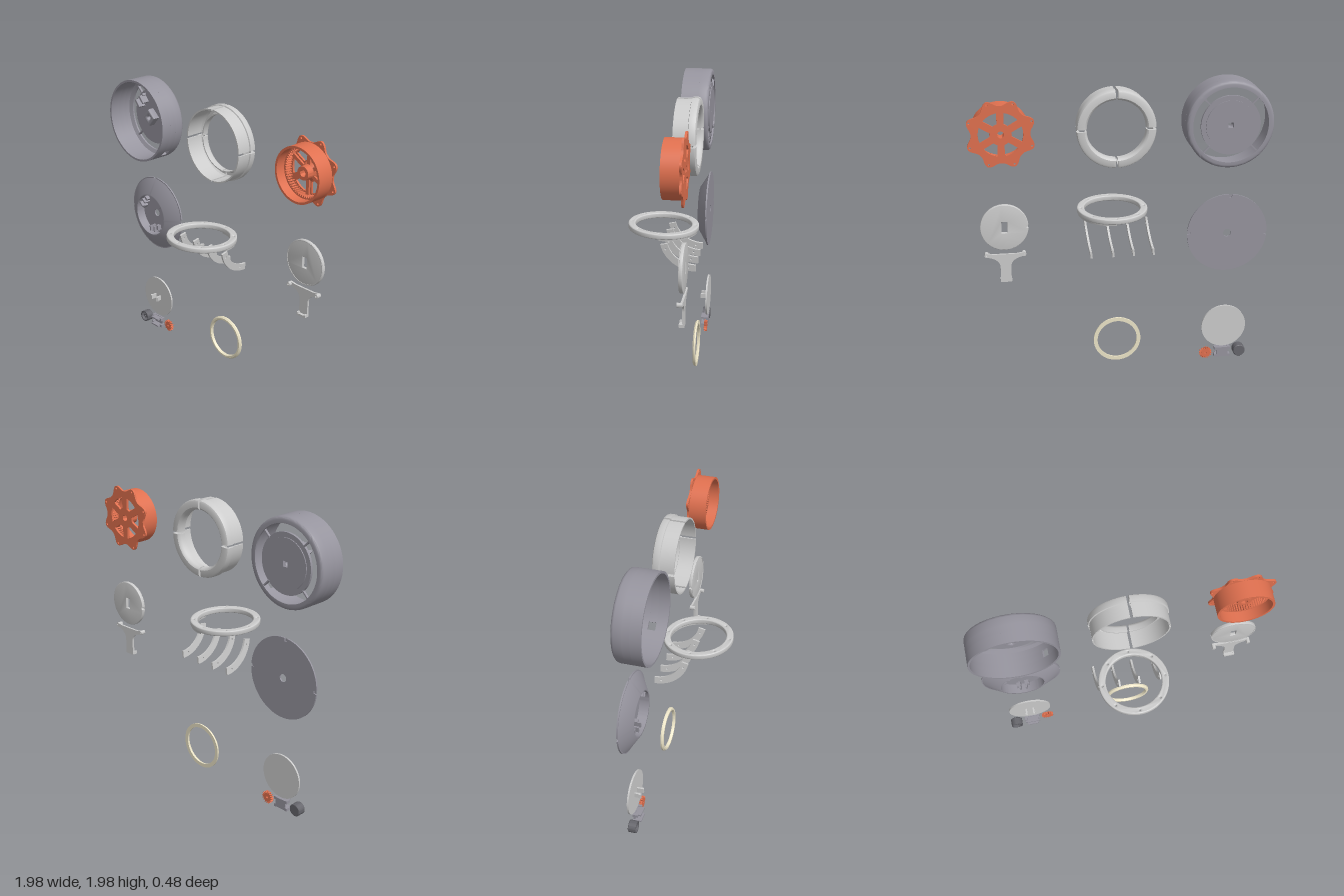
import * as THREE from 'three';
import { mergeGeometries, toCreasedNormals } from 'three/addons/utils/BufferGeometryUtils.js';

const PI = Math.PI, TAU = PI * 2;
const mat = (color) => new THREE.MeshStandardMaterial({ color, side: THREE.DoubleSide });
const grey = mat(0xcccccc), dark = mat(0x96949e), orange = mat(0xe0704f), cream = mat(0xede5c8), black = mat(0x66666c);

// every part stands on a common back plane, z = -0.24
function part(root, name, x, y, z = -0.24) {
  const g = new THREE.Group();
  g.name = name;
  g.position.set(x, y, z);
  root.add(g);
  return g;
}
function add(g, name, geo, m, x = 0, y = 0, z = 0, rz = 0) {
  const mesh = new THREE.Mesh(geo, m);
  mesh.name = name;
  mesh.position.set(x, y, z);
  mesh.rotation.z = rz;
  g.add(mesh);
  return mesh;
}
const box = (w, h, d) => new THREE.BoxGeometry(w, h, d).translate(0, 0, d / 2);

// profile [r, z] turned around z; part turns get end caps
function turn(pts, start = 0, length = TAU) {
  const v = pts.map(([r, z]) => new THREE.Vector2(r, z));
  const list = [new THREE.LatheGeometry([...v, v[0].clone()], Math.ceil(96 * length / TAU), start, length)];
  if (length < TAU) for (const phi of [start, start + length])
    list.push(new THREE.ShapeGeometry(new THREE.Shape(v)).rotateY(phi - PI / 2));
  return toCreasedNormals(mergeGeometries(list).rotateX(PI / 2), 0.6);
}
const tube = (r0, r1, z0, z1) => turn([[r0, z0], [r1, z0], [r1, z1], [r0, z1]]);

// outline given as radius by angle
function polar(n, f, T = THREE.Shape) {
  const pts = [];
  for (let i = 0; i < n; i++) {
    const a = i / n * TAU, r = f(a, i);
    pts.push(new THREE.Vector2(r * Math.cos(a), r * Math.sin(a)));
  }
  return new T(pts);
}
const circle = (r, x = 0, y = 0) => new THREE.Path().absarc(x, y, r, 0, TAU, true);
const rect = (w, h, T = THREE.Path) => new T([[-1, -1], [1, -1], [1, 1], [-1, 1]].map(([a, b]) => new THREE.Vector2(a * w / 2, b * h / 2)));
function plate(shape, holes, depth, bevel = 0) {
  shape.holes.push(...holes);
  const geo = new THREE.ExtrudeGeometry(shape, {
    depth: depth - 2 * bevel, curveSegments: 48, bevelEnabled: bevel > 0,
    bevelSize: bevel, bevelOffset: -bevel, bevelThickness: bevel, bevelSegments: 3,
  }).translate(0, 0, bevel);
  return toCreasedNormals(geo, 0.6);
}

function housing(root) {
  const g = part(root, 'housing', -0.71, 1.69);
  add(g, 'rearRim', turn([[0.25, 0], [0.27, 0], [0.281, 0.003], [0.287, 0.009], [0.29, 0.02], [0.29, 0.07], [0.276, 0.07], [0.276, 0.025], [0.25, 0.012]]), dark);
  // band of the wall with a small window
  add(g, 'windowBand', turn([[0.276, 0.07], [0.29, 0.07], [0.29, 0.12], [0.276, 0.12]], PI / 4 + 0.09, TAU - 0.18), dark);
  add(g, 'frontWall', tube(0.276, 0.29, 0.12, 0.19), dark);
  add(g, 'baseDisc', plate(polar(96, () => 0.197), [rect(0.036, 0.036)], 0.016), dark, 0, 0, 0.006);
  add(g, 'baseStep', plate(polar(96, () => 0.165), [rect(0.036, 0.036)], 0.006), dark);
  for (let i = 0; i < 4; i++) {
    const a = PI / 4 + i * PI / 2;
    add(g, 'spoke', box(0.07, 0.009, 0.016), dark, 0.225 * Math.cos(a), 0.225 * Math.sin(a), 0.003, a);
  }
  // centre socket and the clip beside it
  add(g, 'socket', plate(rect(0.085, 0.085, THREE.Shape), [circle(0.016)], 0.055, 0.01), dark, 0, 0, 0.02, 0.87);
  const clip = part(g, 'clip', -0.1, 0.095, 0.022);
  clip.rotation.z = 0.75;
  for (const s of [-1, 1]) {
    add(clip, 'clipPost', box(0.014, 0.06, 0.055), dark, s * 0.028, 0, 0);
    add(clip, 'clipFoot', box(0.022, 0.016, 0.03), dark, s * 0.032, 0.03, 0);
  }
  add(clip, 'clipBar', box(0.056, 0.01, 0.02), dark, 0, 0, 0);
}

function quarterRing(root) {
  const g = part(root, 'quarterRing', 0.033, 1.69);
  const profile = [[0.192, 0.02], [0.197, 0.007], [0.207, 0], [0.242, 0], [0.253, 0.006], [0.258, 0.018], [0.258, 0.05],
    [0.25, 0.053], [0.25, 0.15], [0.24, 0.15], [0.24, 0.03], [0.23, 0.018], [0.212, 0.018], [0.2, 0.03], [0.2, 0.055], [0.192, 0.055]];
  for (let i = 0; i < 4; i++) add(g, 'quarterTrough', turn(profile, i * PI / 2 + 0.035, PI / 2 - 0.07), grey);
}

function wheel(root) {
  const g = part(root, 'toothedWheel', 0.77, 1.69);
  const holes = [circle(0.022)];
  for (let i = 0; i < 8; i++) {
    const a = (i + 0.5) * PI / 4;
    holes.push(circle(0.007, 0.211 * Math.cos(a), 0.211 * Math.sin(a)));
  }
  for (let i = 0; i < 6; i++) {
    const a = i * PI / 3;
    holes.push(new THREE.Path().absarc(0, 0, 0.142, a - 0.36, a + 0.36, false).absarc(0, 0, 0.07, a + 0.2, a - 0.2, true).closePath());
  }
  add(g, 'lobedFlange', plate(polar(240, (a) => 0.187 + 0.04 * Math.pow((1 - Math.cos(8 * a)) / 2, 1.4).valueOf()), holes, 0.014), orange, 0, 0, 0, 0);
  add(g, 'drum', tube(0.17, 0.185, 0.012, 0.13), orange);
  add(g, 'innerTeeth', plate(polar(96, () => 0.172), [polar(240, (a, i) => (i % 4 < 2 ? 0.15 : 0.162), THREE.Path)], 0.05), orange, 0, 0, 0.012);
  add(g, 'hub', turn([[0.022, 0.01], [0.065, 0.01], [0.047, 0.03], [0.045, 0.075], [0.022, 0.075]]), orange);
  for (let i = 0; i < 6; i++) {
    const a = PI / 6 + i * PI / 3;
    add(g, 'spokeRib', box(0.11, 0.024, 0.018), orange, 0.1 * Math.cos(a), 0.1 * Math.sin(a), 0.01, a);
  }
}

function coneCover(root) {
  const g = part(root, 'coneCover', -0.71, 0.945);
  const notches = [PI / 2 + 0.06, PI + 0.06, 0.04];
  add(g, 'coverPlate', plate(polar(360, (a) => notches.some((n) => Math.abs(a - n) < 0.04) ? 0.25 : 0.272), [circle(0.027)], 0.01), dark);
  add(g, 'cone', turn([[0.15, 0.008], [0.268, 0.008], [0.16, 0.076], [0.15, 0.076]]), dark);
  // three pairs of clips on the floor
  for (const [x, y, r] of [[-0.11, 0.06, 0.9], [0.11, 0.075, -0.7], [0, -0.115, 0.1]]) {
    const c = part(g, 'coverClip', x, y, 0.01);
    c.rotation.z = r;
    for (const s of [-1, 1]) {
      add(c, 'clipBlock', box(0.03, 0.034, 0.03), dark, s * 0.03, s * 0.008);
      add(c, 'clipTab', box(0.012, 0.04, 0.05), dark, s * 0.022, 0);
    }
  }
}

function flatRing(root) {
  const g = part(root, 'flatRing', 0.033, 1.048, 0);
  g.rotation.x = -PI / 2 - 0.03;
  const holes = [circle(0.19)];
  for (let i = 0; i < 8; i++) {
    const a = (i + 0.5) * PI / 4 + PI / 8;
    holes.push(circle(0.006, 0.215 * Math.cos(a), 0.215 * Math.sin(a)));
  }
  add(g, 'ringBody', plate(polar(96, () => 0.238), holes, 0.036, 0.007), grey);
  add(g, 'ringUnderside', turn([[0.195, -0.01], [0.232, -0.01], [0.236, 0.01], [0.192, 0.01]], PI / 2, PI / 2), grey);
}

function curvedRibs(root) {
  // flat arcs in the y-z plane, centred above their lower end
  const shape = () => new THREE.Shape().absarc(0, 0, 0.24, -PI / 2, -0.22, false).absarc(0, 0, 0.192, -0.22, -PI / 2, true).closePath();
  for (const x of [-0.174, -0.04, 0.097, 0.244]) {
    const g = part(root, 'curvedRib', x, 1.05);
    g.rotation.z = -0.11;
    const holes = [0.4, 1.35].map((a) => circle(0.007, 0.216 * Math.cos(a), -0.216 * Math.sin(a)));
    const geo = plate(shape(), holes, 0.014).translate(0, 0, -0.007).rotateY(-PI / 2);
    add(g, 'ribPlate', geo, grey, -0.015, 0, 0);
  }
}

function slottedDisc(root) {
  const g = part(root, 'slottedDisc', 0.77, 1.065);
  add(g, 'discBody', plate(polar(180, (a) => Math.abs(a - PI) < 0.05 ? 0.145 : 0.156), [rect(0.038, 0.075)], 0.022, 0.003), grey);
  add(g, 'discRim', tube(0.147, 0.153, 0.02, 0.025), grey);
}

function tBracket(root) {
  const g = part(root, 'tBracket', 0.77, 0.68);
  const s = new THREE.Shape().moveTo(-0.035, 0).lineTo(0.035, 0).lineTo(0.035, 0.11);
  s.quadraticCurveTo(0.038, 0.165, 0.122, 0.18).lineTo(0.122, 0.205).lineTo(0.075, 0.198).lineTo(-0.075, 0.198).lineTo(-0.122, 0.205);
  s.lineTo(-0.122, 0.18).quadraticCurveTo(-0.038, 0.165, -0.035, 0.11);
  add(g, 'bracketPlate', plate(s, [], 0.014), grey);
  add(g, 'bottomLip', box(0.07, 0.014, 0.036), grey, 0, 0.007, 0);
  for (const k of [-1, 1]) {
    add(g, 'eyelet', tube(0.006, 0.014, 0, 0.036), grey, k * 0.122, 0.192, 0);
    add(g, 'lipEnd', box(0.012, 0.02, 0.036), grey, k * 0.032, 0.012, 0);
  }
}

function smallParts(root) {
  const disc = part(root, 'peggedDisc', -0.71, 0.25);
  add(disc, 'discBody', plate(polar(96, () => 0.154), [], 0.012), grey);
  for (const k of [-1, 1]) {
    add(disc, 'peg', box(0.012, 0.034, 0.05), grey, k * 0.027, 0, 0.01);
    add(disc, 'pegHook', box(0.008, 0.034, 0.01), grey, k * 0.034, 0, 0.045);
  }

  const knob = part(root, 'knob', -0.83, 0.046);
  add(knob, 'knobCup', turn([[0, 0], [0.038, 0], [0.042, 0.004], [0.042, 0.055], [0.034, 0.055], [0.034, 0.02], [0, 0.02]]), black);
  add(knob, 'knobBoss', tube(0.008, 0.018, 0.015, 0.045), black);

  const cradle = part(root, 'motorCradle', -0.708, 0.046);
  add(cradle, 'cradleBase', box(0.08, 0.07, 0.012), dark);
  for (const k of [-1, 1]) {
    add(cradle, 'cradleWall', box(0.08, 0.01, 0.055), dark, 0, k * 0.027, 0);
    for (const j of [-1, 1]) add(cradle, 'cradleEar', box(0.02, 0.02, 0.035), dark, j * 0.045, k * 0.027, 0);
  }

  const gear = part(root, 'smallGear', -0.59, 0.046);
  add(gear, 'gearTeeth', plate(polar(64, (a, i) => (i % 4 < 2 ? 0.043 : 0.031)), [circle(0.007)], 0.02), orange);

  const ring = part(root, 'trimRing', 0.033, 0.202);
  add(ring, 'ringBody', turn([[0.135, 0], [0.161, 0], [0.161, 0.01], [0.152, 0.02], [0.14, 0.02], [0.135, 0.012]]), cream);
}

export function createModel() {
  const root = new THREE.Group();
  root.name = 'partsLayout';
  for (const build of [housing, quarterRing, wheel, coneCover, flatRing, curvedRibs, slottedDisc, tBracket, smallParts]) build(root);
  return root;
}
